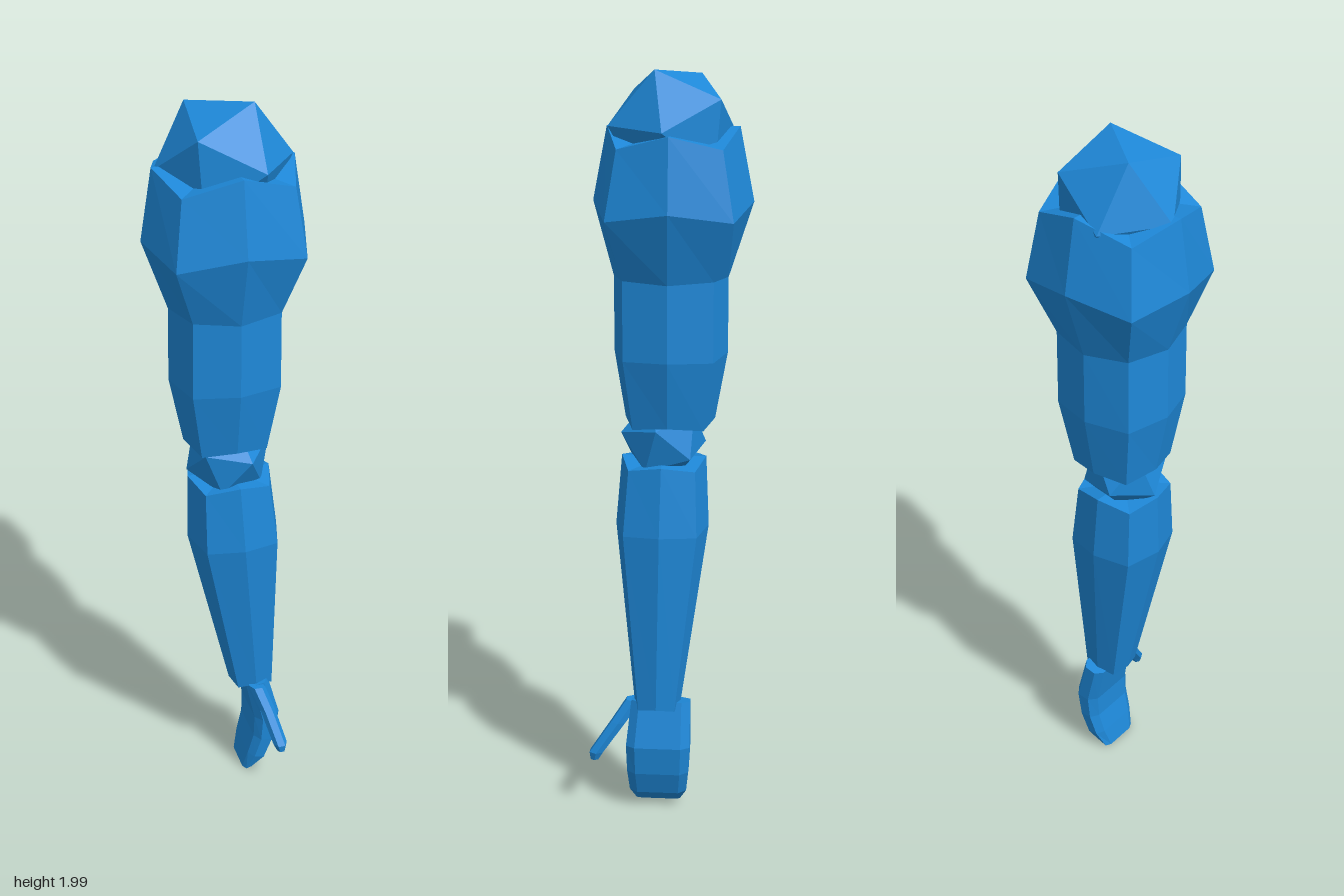
import * as THREE from 'three';

const material = new THREE.MeshStandardMaterial({ color: 0x1e88d8, flatShading: true });

// Unit cross-sections as [x, z, corner weight], running from +x towards +z
const OCTAGON = [[1, 0, 0], [0.78, 0.78, 1], [0, 1, -0.3], [-0.78, 0.78, 1],
  [-1, 0, 0], [-0.78, -0.78, 1], [0, -1, -0.3], [0.78, -0.78, 1]];
const SLAB = [[1, -0.72, 0], [1, 0.72, 0], [0.5, 1, 0], [-0.5, 1, 0],
  [-1, 0.72, 0], [-1, -0.72, 0], [-0.5, -1, 0], [0.5, -1, 0]];
const HEXAGON = Array.from({ length: 6 }, (_, i) =>
  [Math.cos(i * Math.PI / 3), Math.sin(i * Math.PI / 3), 0]);

// Capped skin through rings, top to bottom: [cx, y, cz, rx, rz, corner drop, slope along x]
function loft(name, profile, rings) {
  const n = profile.length;
  const positions = [];
  const index = [];
  for (const [cx, y, cz, rx, rz, drop = 0, slope = 0] of rings) {
    for (const [px, pz, corner] of profile) {
      positions.push(cx + px * rx, y - corner * drop + px * rx * slope, cz + pz * rz);
    }
  }
  const first = rings[0];
  const last = rings[rings.length - 1];
  const top = rings.length * n;
  positions.push(...first.slice(0, 3), ...last.slice(0, 3));
  for (let i = 0; i < n; i++) {
    const j = (i + 1) % n;
    for (let r = 0; r < rings.length - 1; r++) {
      const a = r * n + i, b = r * n + j;
      index.push(a, b, a + n, b, b + n, a + n);
    }
    index.push(top, j, i, top + 1, top - n + i, top - n + j);
  }
  const indexed = new THREE.BufferGeometry();
  indexed.setAttribute('position', new THREE.Float32BufferAttribute(positions, 3));
  indexed.setIndex(index);
  const geometry = indexed.toNonIndexed();
  geometry.computeVertexNormals();
  const mesh = new THREE.Mesh(geometry, material);
  mesh.name = name;
  return mesh;
}

// Icosahedron turned so that one of its edges runs from a to b (relative to its centre)
function jointBall(name, centre, radius, a, b) {
  const va = new THREE.Vector3(...a);
  const vb = new THREE.Vector3(...b);
  const mid = va.clone().add(vb).normalize();
  const across = new THREE.Vector3().crossVectors(vb.sub(va), mid).normalize();
  const along = new THREE.Vector3().crossVectors(mid, across);
  const mesh = new THREE.Mesh(new THREE.IcosahedronGeometry(radius, 0), material);
  mesh.quaternion.setFromRotationMatrix(new THREE.Matrix4().makeBasis(along, mid, across));
  mesh.position.set(...centre);
  mesh.name = name;
  return mesh;
}

export function createModel() {
  const arm = new THREE.Group();
  arm.name = 'arm';

  // Joints
  arm.add(jointBall('shoulderJoint', [0, 1.847, -0.01], 0.172,
    [-0.08, 0.136, -0.068], [0.065, 0.153, 0.043]));
  arm.add(jointBall('elbowJoint', [0.003, 1.05, 0.015], 0.117,
    [-0.08, 0.04, 0.075], [0.035, 0.02, 0.11]));

  // Upper arm, widest at the shoulder muscle
  arm.add(loft('upperArm', OCTAGON, [
    [0, 1.85, -0.01, 0.18, 0.168, 0.035],
    [0, 1.665, -0.01, 0.21, 0.205, 0.025],
    [0, 1.48, -0.004, 0.146, 0.148, -0.005],
    [0, 1.28, -0.004, 0.148, 0.148, 0.003],
    [0, 1.1, -0.002, 0.112, 0.118, 0.01],
  ]));

  // Forearm, tapering towards the wrist and leaning to +x
  arm.add(loft('forearm', OCTAGON, [
    [0.006, 0.995, 0.014, 0.112, 0.112, 0.015],
    [0.016, 0.81, 0.018, 0.125, 0.124, 0.005],
    [0.067, 0.315, 0.028, 0.063, 0.063, 0.008],
  ]));

  // Mitten-shaped hand, curling inwards
  arm.add(loft('hand', SLAB, [
    [0.072, 0.322, 0.018, 0.032, 0.08, 0, 0.2],
    [0.1, 0.2, 0.024, 0.036, 0.087, 0, 0.1],
    [0.094, 0.125, 0.025, 0.032, 0.084, 0, -0.1],
    [0.074, 0.06, 0.026, 0.028, 0.078, 0, -0.2],
    [0.048, 0.012, 0.028, 0.015, 0.06, 0, 0.3],
  ]));

  // Thumb, splayed to the front
  arm.add(loft('thumb', HEXAGON, [
    [0.066, 0.32, 0.092, 0.022, 0.024],
    [0.086, 0.26, 0.134, 0.021, 0.023],
    [0.106, 0.178, 0.193, 0.02, 0.021],
    [0.108, 0.156, 0.198, 0.012, 0.012],
  ]));

  return arm;
}
